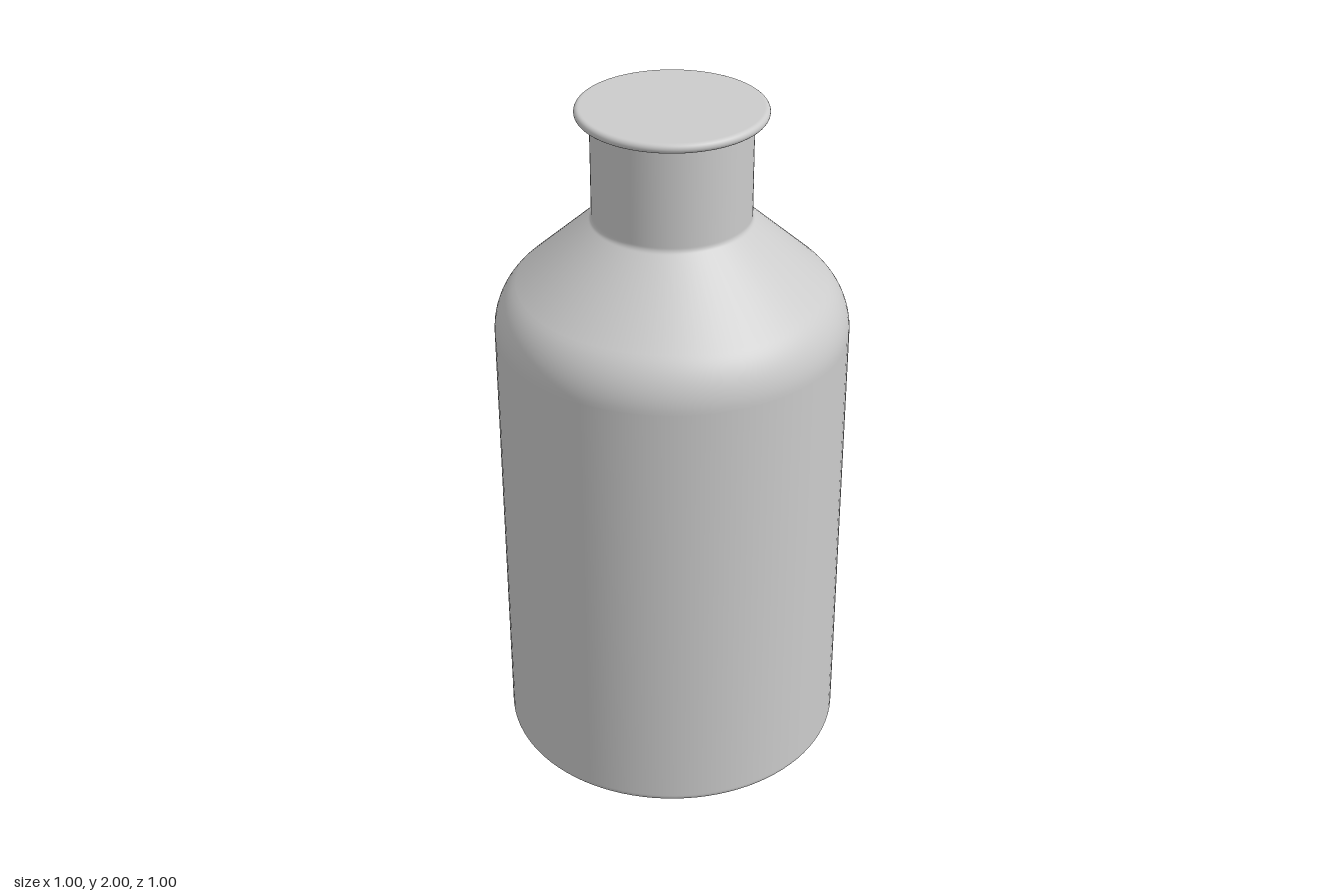
import * as THREE from 'three';

const rad = THREE.MathUtils.degToRad;

// Rounded corner of a profile: an arc with short straight run-ins, which keep
// the neighbouring long faces evenly shaded.
function corner(cx, cy, r, from, to, steps = 8, run = 0.003) {
  const a = rad(from), b = rad(to), s = Math.sign(b - a);
  const at = (t) => new THREE.Vector2(cx + r * Math.cos(t), cy + r * Math.sin(t));
  const along = (t, d) => at(t).add(new THREE.Vector2(-Math.sin(t), Math.cos(t)).multiplyScalar(s * d));
  const pts = [along(a, -run)];
  for (let i = 0; i <= steps; i++) pts.push(at(a + (b - a) * i / steps));
  pts.push(along(b, run));
  return pts;
}

function lathe(name, points, material) {
  const mesh = new THREE.Mesh(new THREE.LatheGeometry(points, 96), material);
  mesh.name = name;
  return mesh;
}

export function createModel() {
  const group = new THREE.Group();
  group.name = 'bottle';
  const material = new THREE.MeshStandardMaterial({ color: 0xcccccc });
  const v = (x, y) => new THREE.Vector2(x, y);

  // Body: flat base, straight wall, rounded shoulder, neck
  const body = [
    v(0, 0),
    ...corner(0.48, 0.02, 0.02, -90, 0),
    ...corner(0.31, 1.34, 0.19, 0, 47.5, 16),
    ...corner(0.242, 1.686, 0.02, 227.5, 180, 6),
    v(0.222, 1.98),
  ];
  group.add(lathe('body', body, material));

  // Lip: thin rounded disc closing the neck
  const lip = [
    v(0, 1.973),
    ...corner(0.2495, 1.9865, 0.0135, -90, 90, 12),
    v(0, 2),
  ];
  group.add(lathe('lip', lip, material));

  return group;
}
